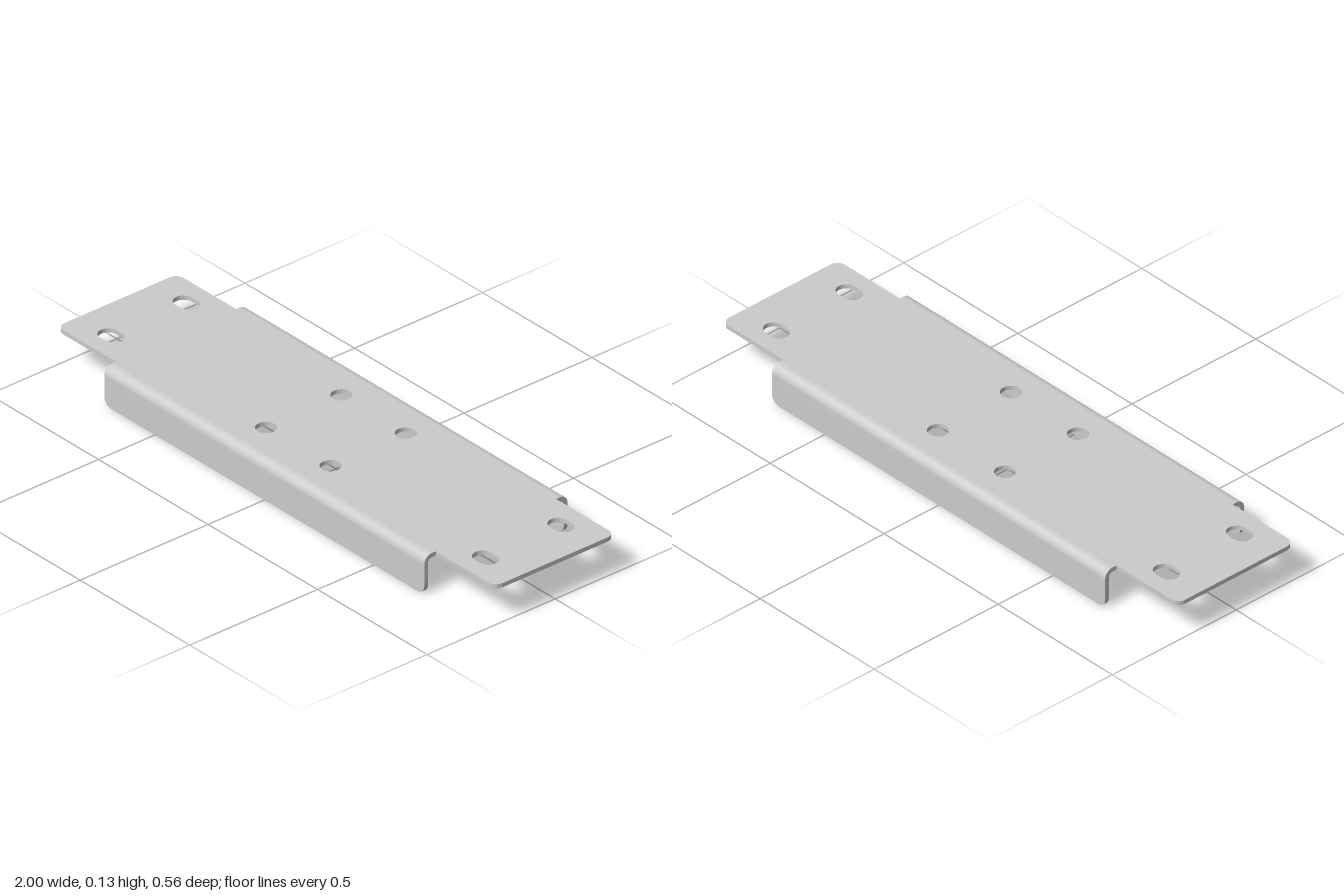
import * as THREE from 'three';
import { mergeGeometries, toCreasedNormals } from 'three/addons/utils/BufferGeometryUtils.js';

const T = 0.0145;           // sheet thickness
const TOP = 0.133;          // top surface height
const HALF_Z = 0.28;        // outer face of the flanges
const BEND = 0.03;          // outer bend radius
const FLANGE_X = 0.73;      // half length of the flanges
const PLATE_Z = 0.235;      // half width of the end tabs
const CORNER = 0.03;        // rounded corners

const extrude = (shape, depth) =>
  new THREE.ExtrudeGeometry(shape, { depth, bevelEnabled: false, curveSegments: 14 });

// Slot (or round hole when half = 0) centred on x, y
function slot(x, y, r, half) {
  const p = new THREE.Path();
  if (half === 0) return p.absarc(x, y, r, 0, Math.PI * 2, true);
  p.absarc(x + half, y, r, Math.PI / 2, -Math.PI / 2, true);
  p.absarc(x - half, y, r, -Math.PI / 2, -Math.PI * 1.5, true);
  p.closePath();
  return p;
}

// Flat plate: wide middle, narrower end tabs, eight holes
function plateGeometry() {
  const z = HALF_Z - BEND, cx = 1 - CORNER, cz = PLATE_Z - CORNER, q = Math.PI / 2;
  const s = new THREE.Shape();
  s.moveTo(-FLANGE_X, -z);
  s.lineTo(FLANGE_X, -z);
  s.lineTo(FLANGE_X, -PLATE_Z);
  s.absarc(cx, -cz, CORNER, -q, 0, false);
  s.absarc(cx, cz, CORNER, 0, q, false);
  s.lineTo(FLANGE_X, PLATE_Z);
  s.lineTo(FLANGE_X, z);
  s.lineTo(-FLANGE_X, z);
  s.lineTo(-FLANGE_X, PLATE_Z);
  s.absarc(-cx, cz, CORNER, q, 2 * q, false);
  s.absarc(-cx, -cz, CORNER, 2 * q, 3 * q, false);
  s.lineTo(-FLANGE_X, -PLATE_Z);
  s.closePath();
  for (const sx of [-1, 1]) for (const sz of [-1, 1]) {
    s.holes.push(slot(sx * 0.855, sz * 0.147, 0.032, 0.013));
    s.holes.push(slot(sx * 0.147, sz * 0.147, 0.033, 0));
  }
  return extrude(s, T).rotateX(-Math.PI / 2).translate(0, TOP - T, 0);
}

// Side flange: quarter-round bend plus a leg with rounded lower corners
function flangeGeometry() {
  const z = HALF_Z - BEND, y = TOP - BEND, q = Math.PI / 2;
  const b = new THREE.Shape();
  b.absarc(z, y, BEND, 0, q, false);
  b.absarc(z, y, BEND - T, q, 0, true);
  b.closePath();
  const bend = extrude(b, 2 * FLANGE_X).translate(0, 0, -FLANGE_X).rotateY(-q);

  const s = new THREE.Shape();
  s.moveTo(FLANGE_X, y);
  s.lineTo(-FLANGE_X, y);
  s.absarc(-FLANGE_X + CORNER, CORNER, CORNER, 2 * q, 3 * q, false);
  s.absarc(FLANGE_X - CORNER, CORNER, CORNER, -q, 0, false);
  s.closePath();
  const leg = extrude(s, T).translate(0, 0, HALF_Z - T);
  return mergeGeometries([bend, leg]);
}

export function createModel() {
  const group = new THREE.Group();
  group.name = 'mountingBracket';
  const material = new THREE.MeshStandardMaterial({ color: 0xcccccc });
  const add = (name, geometry) => {
    const mesh = new THREE.Mesh(toCreasedNormals(geometry, 0.6), material);
    mesh.name = name;
    group.add(mesh);
    return mesh;
  };
  add('plate', plateGeometry());
  add('frontFlange', flangeGeometry());
  add('backFlange', flangeGeometry().rotateY(Math.PI));
  return group;
}
